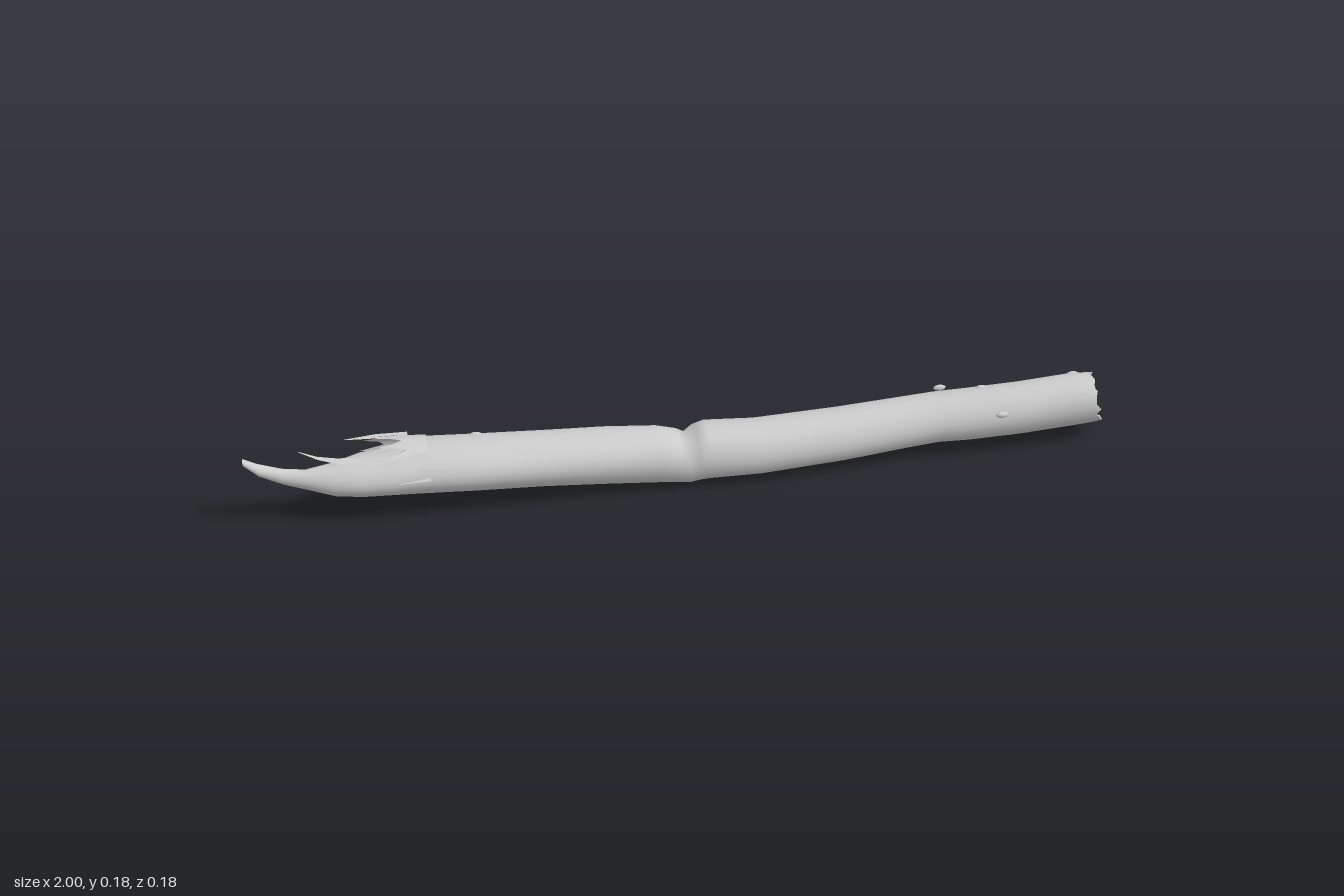
import * as THREE from 'three';

const bark = new THREE.MeshStandardMaterial({ color: 0xcccccc, side: THREE.DoubleSide });
bark.name = 'pale grey wood';

const SIDES = 24;

// Cross-sections along the log: x, top, bottom, back z, front z
const SECTIONS = [
  [-1.0, 0.178, 0.162, -0.006, 0.01],
  [-0.97, 0.158, 0.13, -0.014, 0.014],
  [-0.92, 0.138, 0.1, -0.016, 0.014],
  [-0.87, 0.13, 0.082, -0.018, 0.022],
  [-0.81, 0.138, 0.064, -0.035, 0.046],
  [-0.75, 0.146, 0.056, -0.06, 0.058],
  [-0.68, 0.148, 0.05, -0.072, 0.06],
  [-0.61, 0.163, 0.044, -0.086, 0.066],
  [-0.5, 0.156, 0.038, -0.084, 0.07],
  [-0.35, 0.149, 0.03, -0.078, 0.071],
  [-0.2, 0.142, 0.016, -0.074, 0.071],
  [-0.08, 0.134, 0.006, -0.065, 0.073],
  [-0.035, 0.122, 0.002, -0.061, 0.074],
  [-0.015, 0.113, 0.001, -0.055, 0.074],
  [0.005, 0.132, 0.004, -0.056, 0.077],
  [0.03, 0.141, 0.007, -0.056, 0.08],
  [0.15, 0.131, 0.008, -0.056, 0.085],
  [0.35, 0.134, 0.013, -0.058, 0.077],
  [0.5, 0.138, 0.019, -0.063, 0.065],
  [0.58, 0.143, 0.024, -0.062, 0.063],
  [0.66, 0.15, 0.026, -0.052, 0.071],
  [0.78, 0.157, 0.031, -0.044, 0.076],
  [0.9, 0.166, 0.038, -0.039, 0.076],
  [0.95, 0.164, 0.041, -0.038, 0.075]
];

// Point on a section; angle 0 is the top and a quarter turn is the front
function ringPoint([x, top, bottom, back, front], a, scale = 1) {
  const lump = scale * (1 + 0.018 * Math.sin(3 * a + 5 * x) * Math.sin(a));
  return [x,
    (top + bottom) / 2 + (top - bottom) / 2 * Math.cos(a) * lump,
    (back + front) / 2 + (front - back) / 2 * Math.sin(a) * lump];
}

// Skin rows of points; closed rows wrap around
function skin(name, rows, closed) {
  const n = rows[0].length, index = [];
  for (let r = 0; r < rows.length - 1; r++) {
    for (let i = 0; i < (closed ? n : n - 1); i++) {
      const j = (i + 1) % n, a = r * n, b = a + n;
      index.push(a + i, a + j, b + i, a + j, b + j, b + i);
    }
  }
  const geometry = new THREE.BufferGeometry();
  geometry.setAttribute('position', new THREE.Float32BufferAttribute(rows.flat(2), 3));
  geometry.setIndex(index);
  geometry.computeVertexNormals();
  const mesh = new THREE.Mesh(geometry, bark);
  mesh.name = name;
  return mesh;
}

function ring(section, scale = 1) {
  return Array.from({ length: SIDES }, (_, i) => ringPoint(section, i / SIDES * Math.PI * 2, scale));
}

// Thin tapering splinter along a few points
function splinter(name, points, width) {
  const last = points.length - 1;
  const rows = points.map(([x, y, z], i) => {
    const w = width * (1 - i / last) + 0.001;
    return [[x, y - w * 0.4, z - w], [x, y + w * 0.4, z], [x, y - w * 0.4, z + w]];
  });
  return skin(name, rows, false);
}

export function createModel() {
  const model = new THREE.Group();
  model.name = 'brokenBranch';

  // Ragged rim of the hollow end, slanting out at the bottom and back
  const end = SECTIONS[SECTIONS.length - 1];
  const rim = ring(end, 0.97).map(([x, y, z], i) => [
    0.97 - 0.016 * Math.cos(i / SIDES * Math.PI * 2) - 0.014 * Math.sin(i / SIDES * Math.PI * 2)
      + 0.008 * Math.sin(i * 2.4), y, z]);

  // Trunk, from the pointed tongue to the hollow end
  model.add(skin('trunk', [...SECTIONS.map(s => ring(s)), rim], true));

  // Tongue tip cap
  const tip = SECTIONS[0];
  model.add(skin('tongueTip', [ring(tip, 0.01), ring(tip)], true));

  // Hollow end: broken rim, inner wall and floor
  const at = (x, scale) => ring(end, scale).map(p => [x, p[1], p[2]]);
  const lip = at(0, 0.8).map((p, i) => [rim[i][0] - 0.006, p[1], p[2]]);
  model.add(skin('brokenRim', [rim, lip], true));
  model.add(skin('hollowWall', [lip, at(0.925, 0.7)], true));
  model.add(skin('hollowFloor', [at(0.925, 0.7), at(0.915, 0.01)], true));

  // Torn bark collar over the top and back of the splintered end
  const collar = [-0.69, -0.65, -0.6].map((x, r) => Array.from({ length: 17 }, (_, i) => {
    const a = -2.0 + i / 16 * 2.7;
    const p = ringPoint([x, 0.172 - r * 0.004, 0.048, -0.089, 0.066], a);
    if (r === 0) p[0] += 0.035 * Math.sin(i * 2.3) - 0.045 * Math.max(0, Math.sin(-a)) + 0.02;
    return p;
  }));
  model.add(skin('tornBark', collar, false));

  // Splinters standing off the broken end
  [
    [[[-0.72, 0.145, 0.01], [-0.8, 0.152, 0.005], [-0.84, 0.16, 0.0], [-0.88, 0.178, -0.004]], 0.014],
    [[[-0.64, 0.15, -0.07], [-0.71, 0.152, -0.075], [-0.78, 0.155, -0.066]], 0.014],
    [[[-0.66, 0.1, -0.085], [-0.73, 0.1, -0.082], [-0.79, 0.105, -0.06]], 0.012],
    [[[-0.6, 0.164, -0.01], [-0.65, 0.179, 0.0], [-0.72, 0.166, 0.012]], 0.016],
    [[[-0.6, 0.158, 0.035], [-0.66, 0.162, 0.04], [-0.71, 0.15, 0.046]], 0.012],
    [[[-0.6, 0.118, 0.067], [-0.63, 0.116, 0.07], [-0.67, 0.11, 0.066]], 0.006]
  ].forEach(([points, width], i) => model.add(splinter('splinter' + (i + 1), points, width)));

  // Small bark chips and knots on the trunk
  [
    [0.6, 0.138, -0.038], [0.69, 0.147, -0.005], [0.72, 0.115, 0.068],
    [0.92, 0.15, -0.016], [-0.49, 0.147, -0.04]
  ].forEach(([x, y, z]) => {
    const chip = new THREE.Mesh(new THREE.SphereGeometry(0.012, 8, 6), bark);
    chip.scale.set(1.3, 0.6, 0.6);
    chip.position.set(x, y, z);
    chip.name = 'barkChip';
    model.add(chip);
  });

  // Hollow shards inside the open end
  model.add(splinter('hollowShard', [[0.925, 0.09, 0.045], [0.95, 0.085, 0.04], [0.98, 0.075, 0.038]], 0.012));
  model.add(splinter('rimShard', [[0.95, 0.05, -0.01], [0.975, 0.05, -0.014], [1.0, 0.048, -0.016]], 0.014));
  return model;
}
